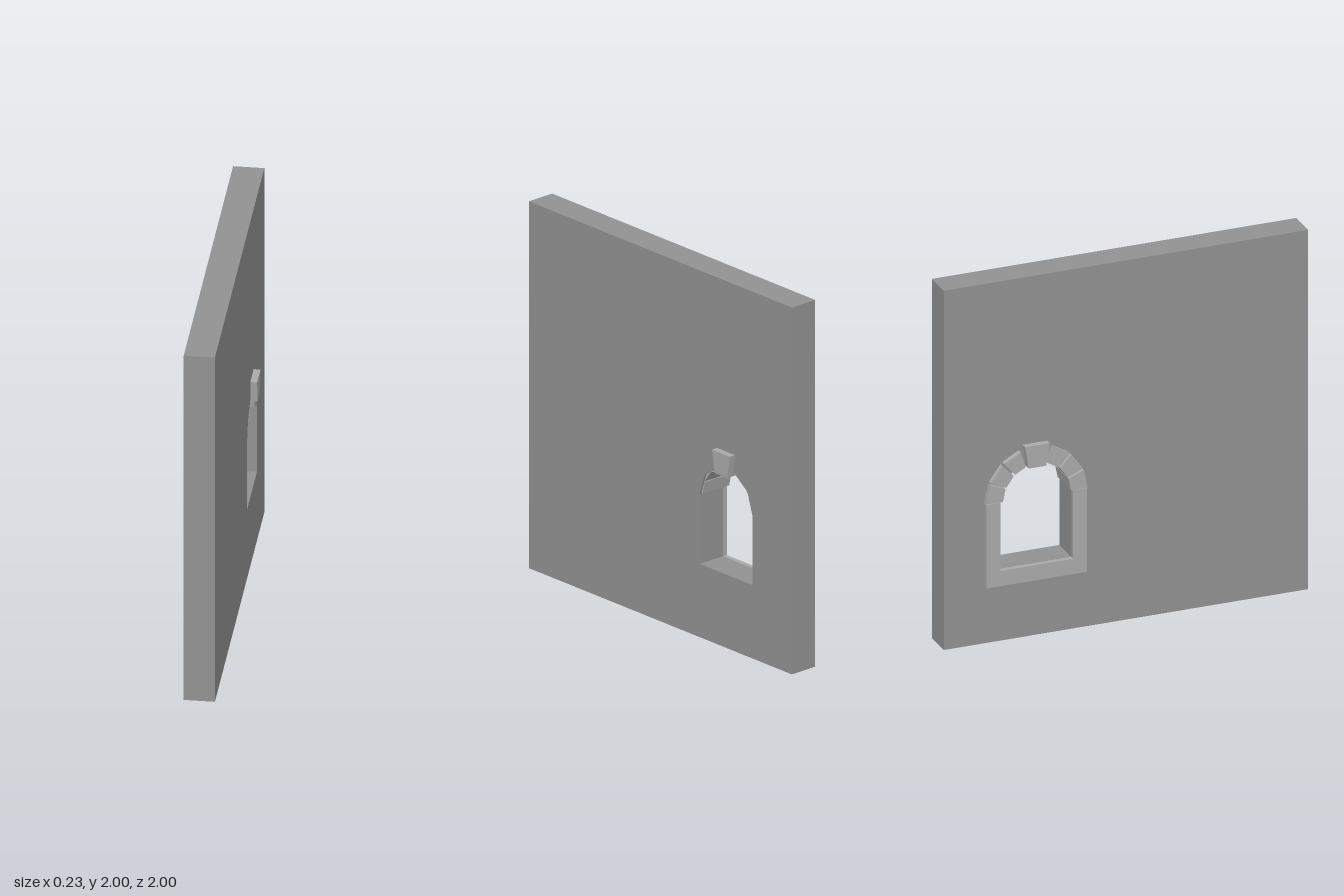
import * as THREE from 'three';

const CENTER_Z = -0.5;   // middle of the window
const SPRING_Y = 0.78;   // height where the arch begins
const wallMaterial = new THREE.MeshStandardMaterial({ color: 0x929292 });
const stoneMaterial = new THREE.MeshStandardMaterial({ color: 0xababab });

// Extrudes an outline given as [z, y] points from x0 to x1
function slab(name, material, points, x0, x1, hole) {
  const toVec = ([z, y]) => new THREE.Vector2(z, y);
  const shape = new THREE.Shape(points.map(toVec));
  if (hole) shape.holes.push(new THREE.Path(hole.map(toVec)));
  const geometry = new THREE.ExtrudeGeometry(shape, { depth: x1 - x0, bevelEnabled: false });
  geometry.rotateY(-Math.PI / 2).translate(x1, 0, 0);
  const mesh = new THREE.Mesh(geometry, material);
  mesh.name = name;
  return mesh;
}

// Point on the arch at a radius and an angle in degrees
function arc(radius, degrees) {
  const a = THREE.MathUtils.degToRad(degrees);
  return [CENTER_Z + radius * Math.cos(a), SPRING_Y + radius * Math.sin(a)];
}

export function createModel() {
  const model = new THREE.Group();

  // Wall with an arched window opening
  const opening = [[CENTER_Z - 0.2, 0.4], [CENTER_Z + 0.2, 0.4]];
  for (let i = 0; i <= 5; i++) opening.push(arc(0.2, i * 36));
  model.add(slab('wall', wallMaterial, [[-1, 0], [1, 0], [1, 2], [-1, 2]], -0.08, 0.08, opening));

  // U-shaped surround: sill and two jambs on the -x face, flush with the opening
  const c = CENTER_Z, w = 0.276, n = 0.2;
  model.add(slab('windowSurround', stoneMaterial, [
    [c - w, 0.315], [c + w, 0.315], [c + w, SPRING_Y], [c + n, SPRING_Y],
    [c + n, 0.4], [c - n, 0.4], [c - n, SPRING_Y], [c - w, SPRING_Y],
  ], -0.105, -0.08));

  // Arch stones, three mirrored on each side, separated by narrow joints
  const arch = new THREE.Group();
  arch.name = 'archStones';
  for (const [from, to] of [[1, 22.5], [25, 47], [50, 71]]) {
    for (const mirrored of [false, true]) {
      const [a, b] = mirrored ? [180 - to, 180 - from] : [from, to];
      arch.add(slab('archStone', stoneMaterial,
        [arc(0.187, a), arc(0.278, a), arc(0.278, b), arc(0.187, b)], -0.11, 0.07));
    }
  }
  model.add(arch);

  // Tapered keystone passing through the wall
  model.add(slab('keystone', stoneMaterial, [
    [c - 0.048, 0.948], [c + 0.048, 0.948], [c + 0.068, 1.07], [c - 0.068, 1.07],
  ], -0.115, 0.115));

  return model;
}
